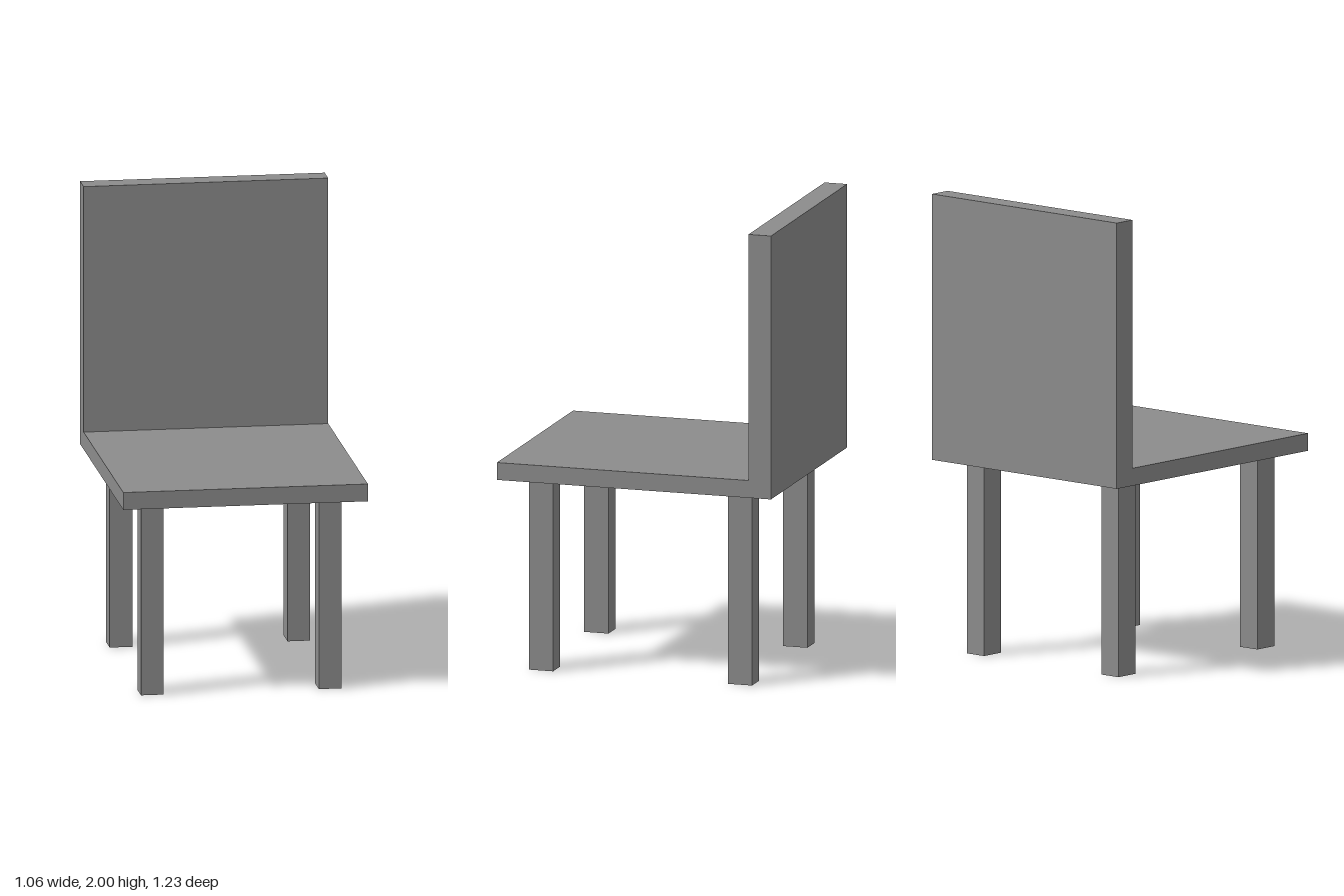
import * as THREE from 'three';

export function createModel() {
  const model = new THREE.Group();
  model.name = 'chair';
  const material = new THREE.MeshStandardMaterial({ color: 0x8c8c8c, flatShading: true });

  const width = 1.058, halfDepth = 0.616;
  const seatBottom = 0.845, seatTop = 0.921, backFront = 0.515;

  // Seat and backrest: one L-shaped side profile (back of the chair at +x) swept across the width
  const profile = new THREE.Shape([
    [-halfDepth, seatBottom], [halfDepth, seatBottom], [halfDepth, 2],
    [backFront, 2], [backFront, seatTop], [-halfDepth, seatTop],
  ].map(([x, y]) => new THREE.Vector2(x, y)));
  const seatGeometry = new THREE.ExtrudeGeometry(profile, { depth: width, bevelEnabled: false });
  seatGeometry.translate(0, 0, -width / 2).rotateY(Math.PI / 2);
  const seat = new THREE.Mesh(seatGeometry, material);
  seat.name = 'seatAndBackrest';
  model.add(seat);

  // Four square legs, set in from the seat edges
  const legGeometry = new THREE.BoxGeometry(0.098, seatBottom, 0.109);
  for (const [end, z] of [['front', 0.449], ['back', -0.445]]) {
    for (const [side, x] of [['Left', 0.383], ['Right', -0.386]]) {
      const leg = new THREE.Mesh(legGeometry, material);
      leg.name = `${end}${side}Leg`;
      leg.position.set(x, seatBottom / 2, z);
      model.add(leg);
    }
  }
  return model;
}
